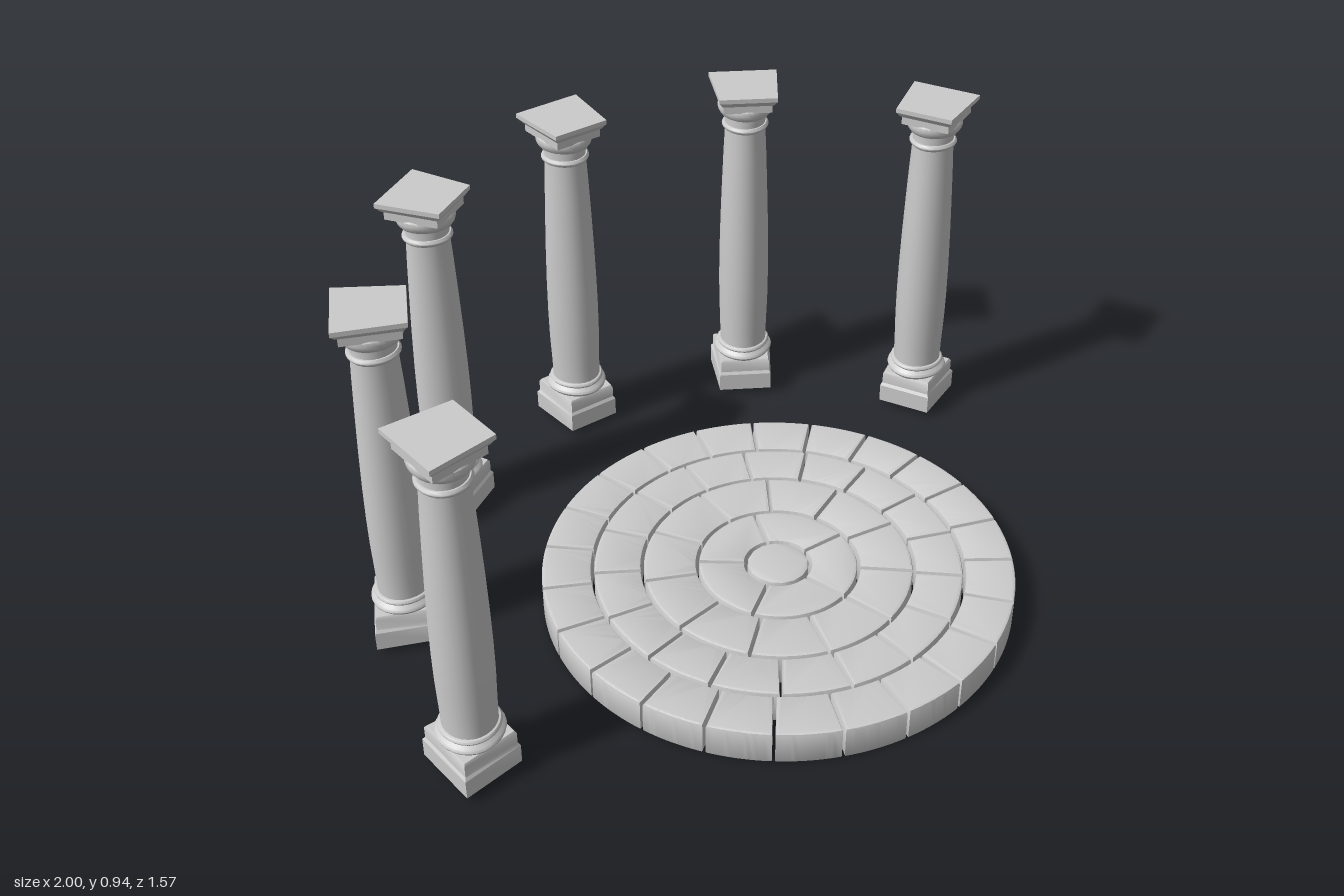
import * as THREE from 'three';
import { toCreasedNormals } from 'three/addons/utils/BufferGeometryUtils.js';

const CENTRE_Z = 0.195; // shared centre of platform and column arc
const ARC_R = 0.918;    // radius of the column arc
const stone = new THREE.MeshStandardMaterial({ color: 0xcccccc });
const rad = THREE.MathUtils.degToRad;

function mesh(name, geometry) {
  const m = new THREE.Mesh(geometry, stone);
  m.name = name;
  return m;
}

// Turn a [radius, y] profile; the sides widen with distance from the arc centre
function turned(profile, sides) {
  const square = sides === 4;
  const k = square ? Math.SQRT2 : 1;
  const points = profile.map(([r, y]) => new THREE.Vector2(r * k, y));
  const geo = new THREE.LatheGeometry(points, sides, square ? Math.PI / 4 : 0);
  const p = geo.attributes.position;
  for (let i = 0; i < p.count; i++) p.setX(i, p.getX(i) * (1 + p.getZ(i) / ARC_R));
  return toCreasedNormals(geo, 0.55);
}

// Rounded moulding as profile points between two heights
function roll(r, bulge, y0, y1, n = 6) {
  return Array.from({ length: n + 1 }, (_, i) => {
    const t = i / n;
    return [r + bulge * Math.sin(Math.PI * t), y0 + (y1 - y0) * t];
  });
}

// Sector-shaped paving stone with softened edges
function pavingStone(r0, r1, a0, a1, gap, height) {
  const bevel = 0.006, inset = gap / 2 + bevel;
  const ri = r0 + inset, ro = r1 - inset;
  const shape = new THREE.Shape();
  shape.absarc(0, 0, ro, a0 + inset / ro, a1 - inset / ro, false);
  shape.absarc(0, 0, ri, a1 - inset / ri, a0 + inset / ri, true);
  return extrudeStone(shape, bevel, height);
}

function extrudeStone(shape, bevel, height) {
  const geo = new THREE.ExtrudeGeometry(shape, {
    depth: height - 2 * bevel, bevelEnabled: true, bevelSize: bevel,
    bevelThickness: bevel, bevelSegments: 2, curveSegments: 8,
  });
  geo.translate(0, 0, bevel);
  geo.rotateX(-Math.PI / 2);
  return toCreasedNormals(geo, 0.6);
}

function createPlatform() {
  const platform = new THREE.Group();
  platform.name = 'platform';
  platform.position.set(-0.004, 0.003, CENTRE_Z);
  const height = 0.088, gap = 0.007;

  const disc = new THREE.Shape();
  disc.absarc(0, 0, 0.08 - gap / 2 - 0.006, 0, Math.PI * 2, false);
  platform.add(mesh('centreStone', extrudeStone(disc, 0.006, height)));

  // inner radius, outer radius, stone count, angle of one joint
  const rings = [
    [0.08, 0.20, 5, -90],
    [0.20, 0.337, 11, -90],
    [0.337, 0.46, 17, 90],
    [0.46, 0.589, 23, 90],
  ];
  rings.forEach(([r0, r1, count, joint], ringIndex) => {
    const ring = new THREE.Group();
    ring.name = `stoneRing${ringIndex + 1}`;
    const step = Math.PI * 2 / count;
    for (let i = 0; i < count; i++) {
      const a = rad(joint) + i * step;
      ring.add(mesh('pavingStone', pavingStone(r0, r1, a, a + step, gap, height)));
    }
    platform.add(ring);
  });
  return platform;
}

function createColumn() {
  const column = new THREE.Group();

  // Two-tier square plinth
  column.add(mesh('plinth', turned([
    [0, 0.02], [0.079, 0.02], [0.079, 0.07], [0.074, 0.078],
    [0.074, 0.108], [0.07, 0.115], [0, 0.115],
  ], 4)));

  // Round base mouldings
  column.add(mesh('base', turned([
    [0.06, 0.113], ...roll(0.073, 0.008, 0.113, 0.134),
    [0.071, 0.136], ...roll(0.069, 0.004, 0.138, 0.15), [0.06, 0.152],
  ], 28)));

  // Shaft with a gentle swell
  column.add(mesh('shaft', turned([
    [0.064, 0.14], [0.065, 0.2], [0.0675, 0.28], [0.068, 0.36], [0.067, 0.45],
    [0.0645, 0.55], [0.061, 0.65], [0.057, 0.75], [0.0535, 0.82], [0.053, 0.87],
  ], 28)));

  // Neck ring and rounded capital
  column.add(mesh('neckRing', turned([
    [0.05, 0.822], ...roll(0.057, 0.005, 0.822, 0.838), [0.05, 0.838],
  ], 28)));
  column.add(mesh('capital', turned([
    [0.05, 0.853], [0.058, 0.853], [0.058, 0.861], [0.064, 0.864], [0.07, 0.872],
    [0.073, 0.882], [0.072, 0.892], [0.066, 0.9], [0, 0.9],
  ], 28)));

  // Square stepped top slab
  column.add(mesh('abacus', turned([
    [0, 0.892], [0.069, 0.892], [0.069, 0.912], [0.074, 0.916],
    [0.079, 0.924], [0.083, 0.928], [0.083, 0.94], [0, 0.94],
  ], 4)));
  return column;
}

export function createModel() {
  const model = new THREE.Group();
  model.name = 'columnCircle';
  model.add(createPlatform());

  // Six columns in an arc behind the platform
  const column = createColumn();
  for (let i = 0; i < 6; i++) {
    const angle = rad(179.6 + (i - 2.5) * 31.35);
    const c = column.clone();
    c.name = `column${i + 1}`;
    c.position.set(Math.sin(angle) * ARC_R, 0, CENTRE_Z + Math.cos(angle) * ARC_R);
    c.rotation.y = angle;
    model.add(c);
  }
  return model;
}
